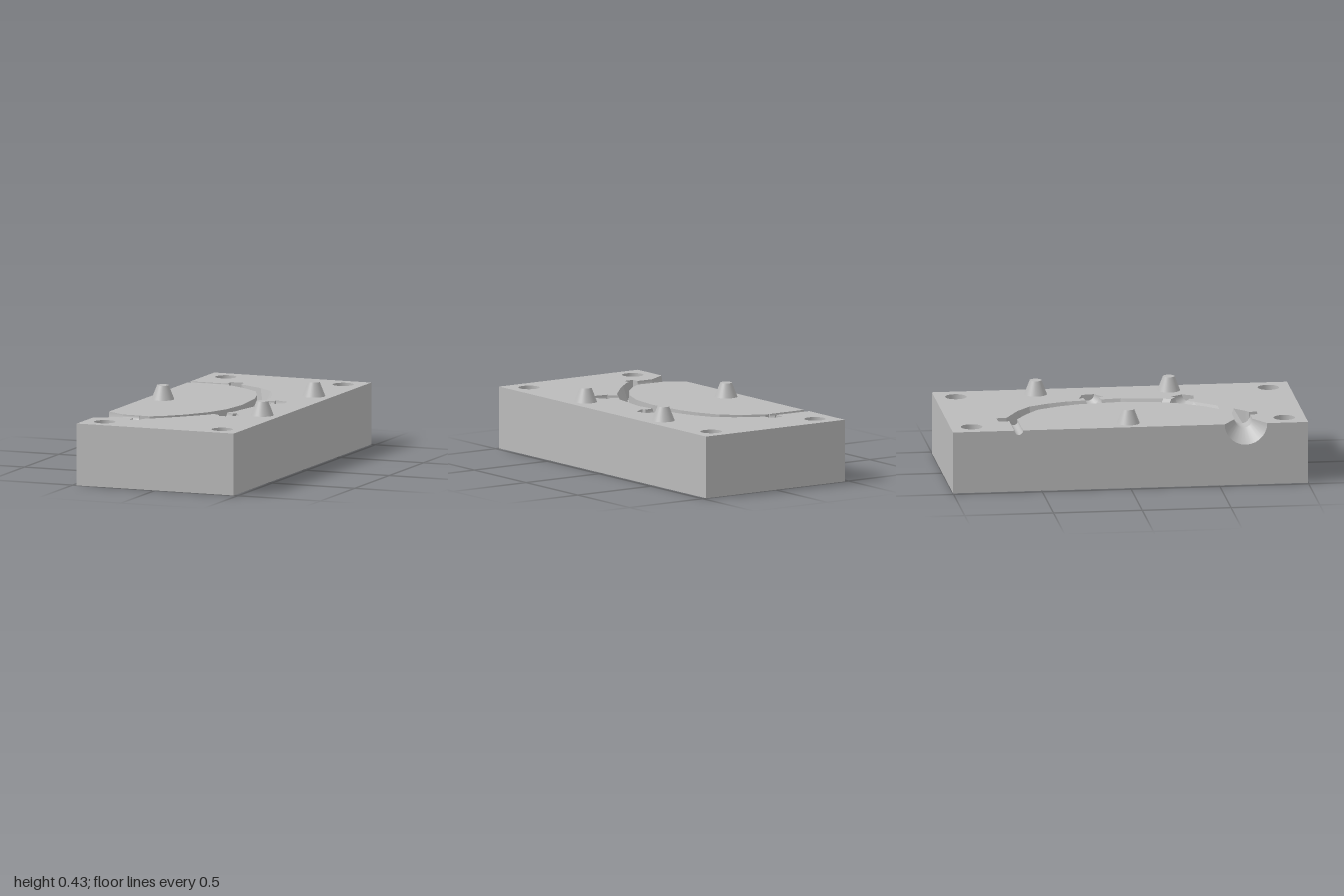
import * as THREE from 'three';

const TOP = 0.35, FLOOR = 0.25, W = 0.475, L = 1;

export function createModel() {
  const group = new THREE.Group();
  const grey = new THREE.MeshStandardMaterial({ color: 0xbbbbbb, side: THREE.DoubleSide });
  const add = (name, geometry) => {
    const mesh = new THREE.Mesh(geometry, grey);
    mesh.name = name;
    group.add(mesh);
    return mesh;
  };
  const at = (y) => ([x, z]) => [x, y, z];

  // Horizontal face from an [x, z] outline
  const flat = (name, outline, y, holes = []) => {
    const v = (list) => list.map(([x, z]) => new THREE.Vector2(x, -z));
    const shape = new THREE.Shape(v(outline));
    holes.forEach((h) => shape.holes.push(new THREE.Path(v(h))));
    add(name, new THREE.ShapeGeometry(shape).rotateX(-Math.PI / 2).translate(0, y, 0));
  };

  // Faceted wall between two matching rows of points
  const strip = (name, top, bottom) => {
    const p = [];
    for (let i = 0; i + 1 < top.length; i++) {
      p.push(...top[i], ...bottom[i + 1], ...bottom[i]);
      p.push(...top[i], ...top[i + 1], ...bottom[i + 1]);
    }
    const g = new THREE.BufferGeometry();
    g.setAttribute('position', new THREE.Float32BufferAttribute(p, 3));
    g.computeVertexNormals();
    add(name, g);
  };

  // Half-round notch in the top edge of a wall, from a to b
  const dip = (a, b, n = 14) => {
    const r = Math.hypot(b[0] - a[0], b[1] - a[1]) / 2;
    return Array.from({ length: n + 1 }, (_, i) => {
      const angle = (Math.PI * i) / n, f = (1 - Math.cos(angle)) / 2;
      return [a[0] + (b[0] - a[0]) * f, TOP - r * Math.sin(angle), a[1] + (b[1] - a[1]) * f];
    });
  };

  // Half-round groove: [distance, radius] profile along a level direction
  const groove = (name, [x, z], [dx, dz], profile) => {
    const X = new THREE.Vector3(0, -1, 0), Y = new THREE.Vector3(dx, 0, dz);
    const m = new THREE.Matrix4().makeBasis(X, Y, X.clone().cross(Y)).setPosition(x, TOP, z);
    for (let i = 0; i + 1 < profile.length; i++) {
      const pts = [profile[i], profile[i + 1]].map(([t, r]) => new THREE.Vector2(r, t));
      add(name, new THREE.LatheGeometry(pts, 14, 0, Math.PI).applyMatrix4(m));
    }
  };

  // Curved cavity stations: inner edge, foot of the slope, outer edge
  const stations = [
    [-0.21, -0.605, -0.17, -0.66, -0.17, -0.66],
    [-0.1, -0.54, -0.025, -0.57, -0.02, -0.58],
    [0, -0.46, 0.03, -0.5, 0.075, -0.5],
    [0.06, -0.335, 0.1, -0.36, 0.13, -0.39],
    [0.095, -0.22, 0.138, -0.24, 0.165, -0.28],
    [0.12, 0.02, 0.162, 0.02, 0.205, 0.03],
    [0.1, 0.2, 0.14, 0.22, 0.17, 0.265],
    [0.045, 0.345, 0.06, 0.375, 0.075, 0.425],
    [-0.04, 0.47, -0.04, 0.5, -0.03, 0.545],
    [-0.13, 0.56, -0.12, 0.59, -0.11, 0.625],
    [-0.2, 0.605, -0.175, 0.685, -0.175, 0.685],
  ];
  const inner = stations.map((s) => [s[0], s[1]]);
  const foot = stations.map((s) => [s[2], s[3]]);
  const outer = stations.map((s) => [s[4], s[5]]);
  const barb = [[0, 0.045], [0.055, 0.045], [0.055, 0.07], [0.13, 0.035]];

  // Outer slope, with a barbed groove leaving two of its segments
  const rim = [], slopeTop = [], slopeFoot = [];
  outer.forEach((a, k) => {
    rim.push(a);
    slopeTop.push(at(TOP)(a));
    slopeFoot.push(at(FLOOR)(foot[k]));
    if (k !== 4 && k !== 6) return;
    const b = outer[k + 1], len = Math.hypot(b[0] - a[0], b[1] - a[1]);
    const s = [(b[0] - a[0]) / len, (b[1] - a[1]) / len], n = [s[1], -s[0]];
    const c = [(a[0] + b[0]) / 2, (a[1] + b[1]) / 2];
    const edge = (side) => ([t, r]) => [0, 1].map((i) => c[i] + n[i] * t + s[i] * r * side);
    rim.push(...barb.map(edge(-1)), ...barb.map(edge(1)).reverse());
    groove('barbedGroove', c, n, [...barb, [0.13, 0]]);
    for (const p of dip(edge(-1)(barb[0]), edge(1)(barb[0]))) {
      const f = Math.hypot(p[0] - a[0], p[2] - a[1]) / len;
      slopeTop.push(p);
      slopeFoot.push([0, 1].map((i) => foot[k][i] + (foot[k + 1][i] - foot[k][i]) * f))
      slopeFoot.push(at(FLOOR)(slopeFoot.pop()));
    }
  });
  strip('cavitySlope', slopeTop, slopeFoot);
  strip('cavityInnerWall', inner.map(at(TOP)), inner.map(at(FLOOR)));

  // Pockets at both cavity ends, opened by the vent and the funnel
  const ventA = [-0.235, -0.605], ventB = [-0.25, -0.655];
  const funnelA = [-0.26, 0.7], funnelB = [-0.26, 0.6];
  const backPocket = [[-0.255, -0.715], [-0.175, -0.72]];
  const frontPocket = [[-0.2, 0.7], [-0.2, 0.745], [-0.26, 0.745]];
  const last = stations.length - 1;
  const pocketTops = [
    [at(TOP)(inner[0]), ...dip(ventA, ventB), ...[...backPocket, outer[0]].map(at(TOP))],
    [...[outer[last], ...frontPocket].map(at(TOP)), ...dip(funnelA, funnelB), at(TOP)(inner[last])],
  ];
  pocketTops.forEach((top) => strip('pocketWall', top, top.map(([x, , z]) => [x, FLOOR, z])));
  flat('cavityFloor', [ventA, ventB, ...backPocket, ...foot, ...frontPocket, funnelA, funnelB,
    ...[...inner].reverse()], FLOOR);

  // Vent and pouring funnel
  groove('vent', [-W, -0.63], [1, 0], [[0, 0.025], [0.234, 0.025]]);
  groove('funnel', [-W, 0.65], [1, 0], [[0, 0.12], [0.115, 0.05], [0.215, 0.05]]);

  // Bolt holes
  const holes = [];
  for (const x of [-0.355, 0.355]) for (const z of [-0.88, 0.88]) {
    holes.push(Array.from({ length: 32 }, (_, i) => {
      const a = (i / 32) * Math.PI * 2;
      return [x + 0.06 * Math.sin(a), z + 0.06 * Math.cos(a)];
    }));
    add('boltHole', new THREE.CylinderGeometry(0.06, 0.06, TOP, 32, 1, true)).position.set(x, TOP / 2, z);
  }

  // Block faces
  const corners = [[-W, 1], [W, 1], [W, -1], [-W, -1]];
  flat('topFace', [[-W, -0.655], ventB, ...backPocket, ...rim, ...frontPocket, funnelA,
    [-0.36, 0.7], [-W, 0.77], ...corners], TOP, holes);
  flat('islandTop', [[-W, -0.605], ventA, ...inner, funnelB, [-0.36, 0.6], [-W, 0.53]], TOP);
  flat('bottomFace', corners, 0, holes);
  const sideTop = [[-W, TOP, -L], ...dip([-W, -0.655], [-W, -0.605]),
    ...dip([-W, 0.53], [-W, 0.77]), ...corners.map(at(TOP))];
  strip('blockSides', sideTop, sideTop.map(([x, , z]) => [x, 0, z]));

  // Tapered locating pins
  for (const [x, z] of [[-0.37, 0], [0.365, -0.43], [0.365, 0.32]]) {
    add('locatingPin', new THREE.CylinderGeometry(0.033, 0.064, 0.08, 32)).position.set(x, TOP + 0.04, z);
  }
  return group;
}
